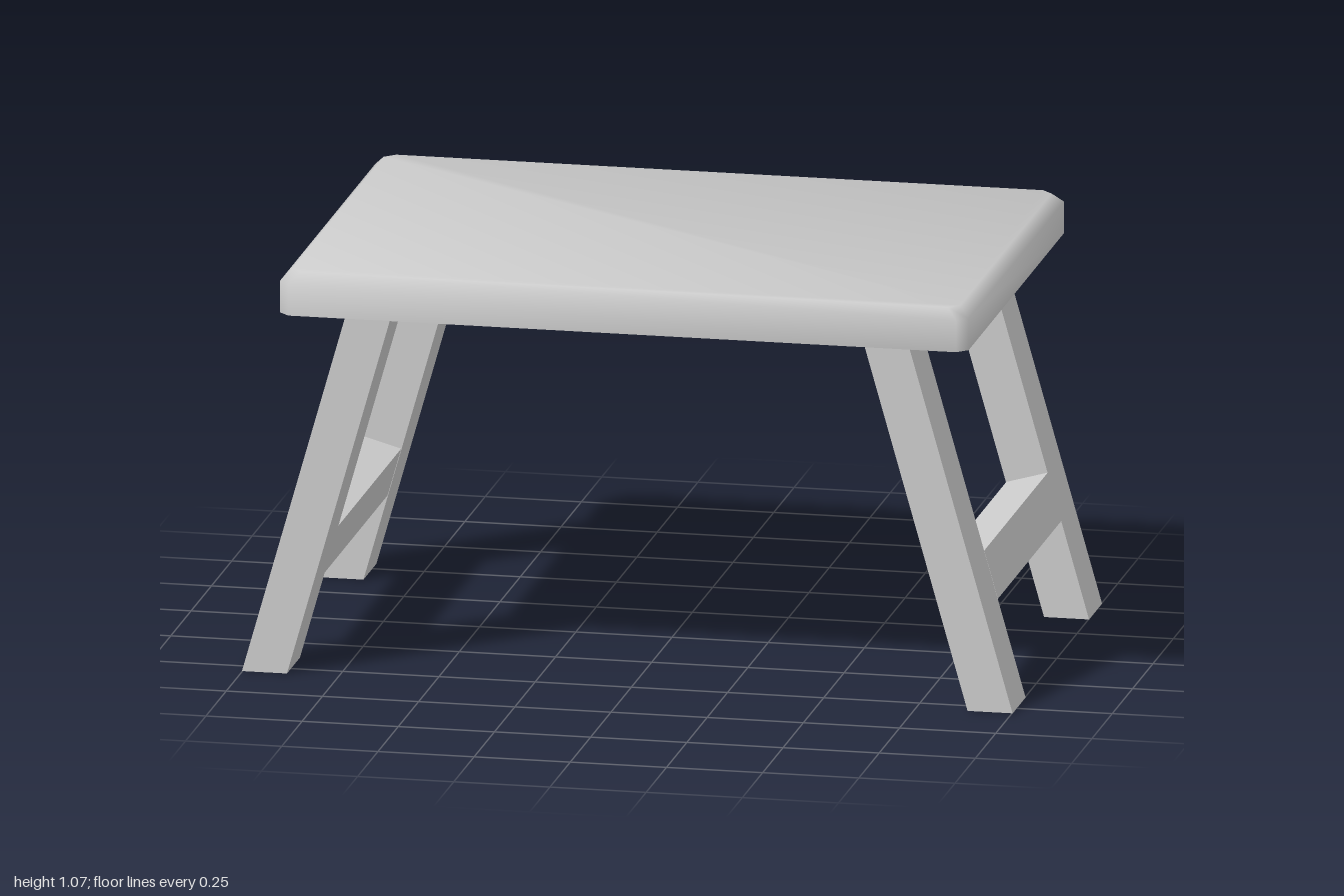
import * as THREE from 'three';

const TOP_Y = 0.96, FOOT_X = 0.943, HEAD_X = 0.671;

// Slab with cut corners and a bevelled upper rim, shaded softly from rim to top
function slabGeometry(hx, hz, y0, y1, bevel) {
  const pos = [], nor = [], index = [];
  const ring = (y, inset, up, out) => {
    const start = pos.length / 3, x = hx - inset, z = hz - inset, c = bevel;
    const corners = [[x, z - c], [x - c, z], [c - x, z], [-x, z - c], [-x, c - z], [c - x, -z], [x - c, -z], [x, c - z]];
    corners.forEach(([px, pz], i) => {
      pos.push(px, y, pz);
      // outward direction halfway between the side and the corner cut
      const a = Math.floor(i / 2) * Math.PI / 2 + (i % 2 ? 3 : 1) * Math.PI / 8;
      const n = new THREE.Vector3(Math.cos(a) * out, up, Math.sin(a) * out).normalize();
      nor.push(n.x, n.y, n.z);
    });
    return start;
  };
  const low = ring(y0, 0, 0, 1);
  const mid = ring(y1 - bevel, 0, 0.4, 1);
  const top = ring(y1, bevel, 1, 0.4);
  const base = ring(y0, 0, -1, 0);
  for (const [a, b] of [[low, mid], [mid, top]]) {
    for (let i = 0; i < 8; i++) {
      const j = (i + 1) % 8;
      index.push(a + i, b + i, b + j, a + i, b + j, a + j);
    }
  }
  for (let i = 1; i < 7; i++) {
    index.push(top, top + i + 1, top + i, base, base + i, base + i + 1);
  }
  const g = new THREE.BufferGeometry();
  g.setAttribute('position', new THREE.Float32BufferAttribute(pos, 3));
  g.setAttribute('normal', new THREE.Float32BufferAttribute(nor, 3));
  g.setIndex(index);
  return g;
}

// Splayed leg: an open-ended box sheared outward toward the foot
function legGeometry(side) {
  const g = new THREE.BoxGeometry(0.117, TOP_Y, 0.16);
  const idx = Array.from(g.index.array);
  g.setIndex([...idx.slice(0, 12), ...idx.slice(24)]);
  g.clearGroups();
  const p = g.attributes.position;
  for (let i = 0; i < p.count; i++) {
    const centre = p.getY(i) > 0 ? HEAD_X : FOOT_X;
    p.setXYZ(i, p.getX(i) + side * centre, p.getY(i) + TOP_Y / 2, p.getZ(i));
  }
  g.computeVertexNormals();
  return g;
}

export function createModel() {
  const group = new THREE.Group();
  const smooth = new THREE.MeshStandardMaterial({ color: 0xcccccc });
  const flat = new THREE.MeshStandardMaterial({ color: 0xcccccc, flatShading: true, side: THREE.DoubleSide });
  const add = (name, geometry, material) => {
    const mesh = new THREE.Mesh(geometry, material);
    mesh.name = name;
    group.add(mesh);
    return mesh;
  };

  add('tabletop', slabGeometry(0.895, 0.613, TOP_Y, 1.07, 0.027), smooth);

  const tilt = Math.atan((FOOT_X - HEAD_X) / TOP_Y);
  for (const side of [1, -1]) {
    const label = side > 0 ? 'Left' : 'Right';
    for (const end of [1, -1]) {
      add((end > 0 ? 'front' : 'back') + label + 'Leg', legGeometry(side), flat).position.z = end * 0.47;
    }
    // Stretcher between the two legs, leaning with them
    const rail = add('stretcher' + label, new THREE.BoxGeometry(0.112, 0.13, 0.78), flat);
    rail.position.set(side * 0.858, 0.303, 0);
    rail.rotation.z = side * tilt;
  }
  return group;
}
